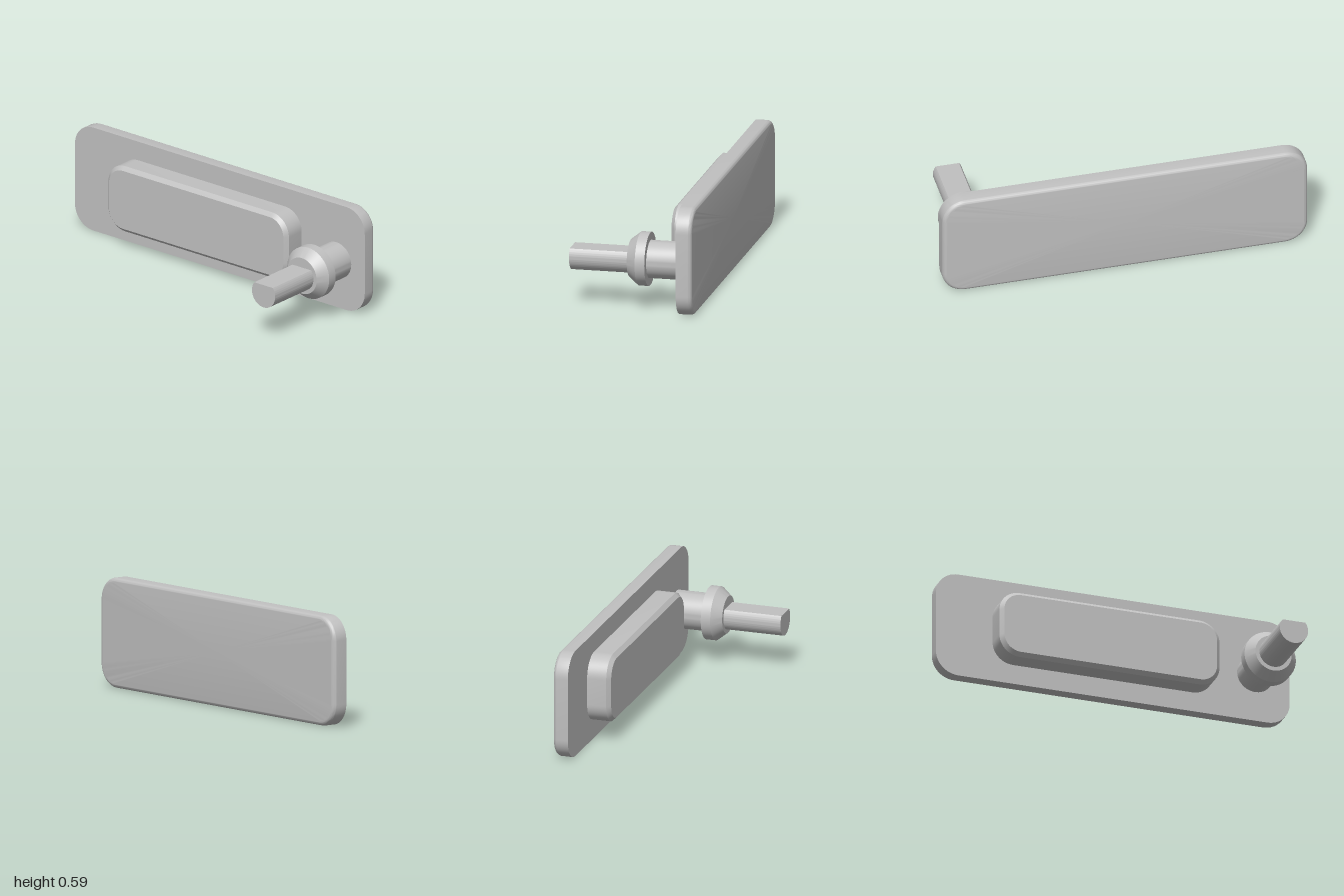
import * as THREE from 'three';
import { toCreasedNormals } from 'three/addons/utils/BufferGeometryUtils.js';

const CREASE = 0.5;

// Rounded rectangle in the y-z plane, lofted along x through [x, inset] sections and capped
function roundedSlab(height, length, radius, sections) {
  const steps = 12, count = 4 * (steps + 1);
  const pos = [], idx = [];
  const signs = [[1, 1], [-1, 1], [-1, -1], [1, -1]];
  for (const [x, inset] of sections) {
    const r = radius - inset;
    signs.forEach(([sy, sz], q) => {
      for (let i = 0; i <= steps; i++) {
        const a = (q + i / steps) * Math.PI / 2;
        pos.push(x,
          sy * (height / 2 - radius) + r * Math.cos(a),
          sz * (length / 2 - radius) + r * Math.sin(a));
      }
    });
  }
  const last = sections.length - 1;
  for (let s = 0; s < last; s++) {
    for (let j = 0; j < count; j++) {
      const k = (j + 1) % count;
      const a = s * count + j, b = s * count + k;
      idx.push(a, b, a + count, b, b + count, a + count);
    }
  }
  const c0 = pos.length / 3, c1 = c0 + 1;
  pos.push(sections[0][0], 0, 0, sections[last][0], 0, 0);
  for (let j = 0; j < count; j++) {
    const k = (j + 1) % count;
    idx.push(c0, k, j, c1, last * count + j, last * count + k);
  }
  const geo = new THREE.BufferGeometry();
  geo.setAttribute('position', new THREE.Float32BufferAttribute(pos, 3));
  geo.setIndex(idx);
  return toCreasedNormals(geo, CREASE);
}

export function createModel() {
  const model = new THREE.Group();
  model.name = 'latchPlate';
  const grey = new THREE.MeshStandardMaterial({ color: 0xc0c0c0 });
  grey.name = 'plain grey';

  const add = (name, geo, x, y, z) => {
    const mesh = new THREE.Mesh(geo, grey);
    mesh.name = name;
    mesh.position.set(x, y, z);
    model.add(mesh);
  };

  // Face plate, with a filleted outer rim
  const fillet = 0.024, face = 0.347;
  const plate = [[0.262, 0]];
  for (let i = 0; i <= 8; i++) {
    const a = i / 8 * Math.PI / 2;
    plate.push([face - fillet + fillet * Math.sin(a), fillet * (1 - Math.cos(a))]);
  }
  plate.push([face, fillet + 0.002]); // keeps the flat face's shading flat
  add('facePlate', roundedSlab(0.592, 2, 0.125, plate), 0, 0.296, 0);

  // Raised pad on the inner side, with a chamfered rim
  const pad = [[0.134, 0.021], [0.155, 0], [0.264, 0]];
  add('backPad', roundedSlab(0.375, 1.245, 0.115, pad), 0, 0.2975, -0.0575);

  // Neck and collar, turned about the x axis
  const axisY = 0.27, axisZ = 0.805;
  const profile = [[0.04, -0.027], [0.102, -0.027], [0.145, 0.026],
    [0.145, 0.079], [0.102, 0.079], [0.102, 0.264]]
    .map(([r, x]) => new THREE.Vector2(r, x));
  const collar = new THREE.LatheGeometry(profile, 64).rotateZ(-Math.PI / 2);
  add('neckAndCollar', toCreasedNormals(collar, CREASE), 0, axisY, axisZ);

  // D-shaped spindle, flat side up
  const a = Math.asin(0.6);
  const section = new THREE.Shape();
  section.absarc(0, 0, 0.08, Math.PI - a, 2 * Math.PI + a, false);
  section.closePath();
  const spindle = new THREE.ExtrudeGeometry(section,
    { depth: 0.322, bevelEnabled: false, curveSegments: 48 }).rotateY(-Math.PI / 2);
  add('spindle', toCreasedNormals(spindle, CREASE), -0.025, axisY, axisZ);

  return model;
}
